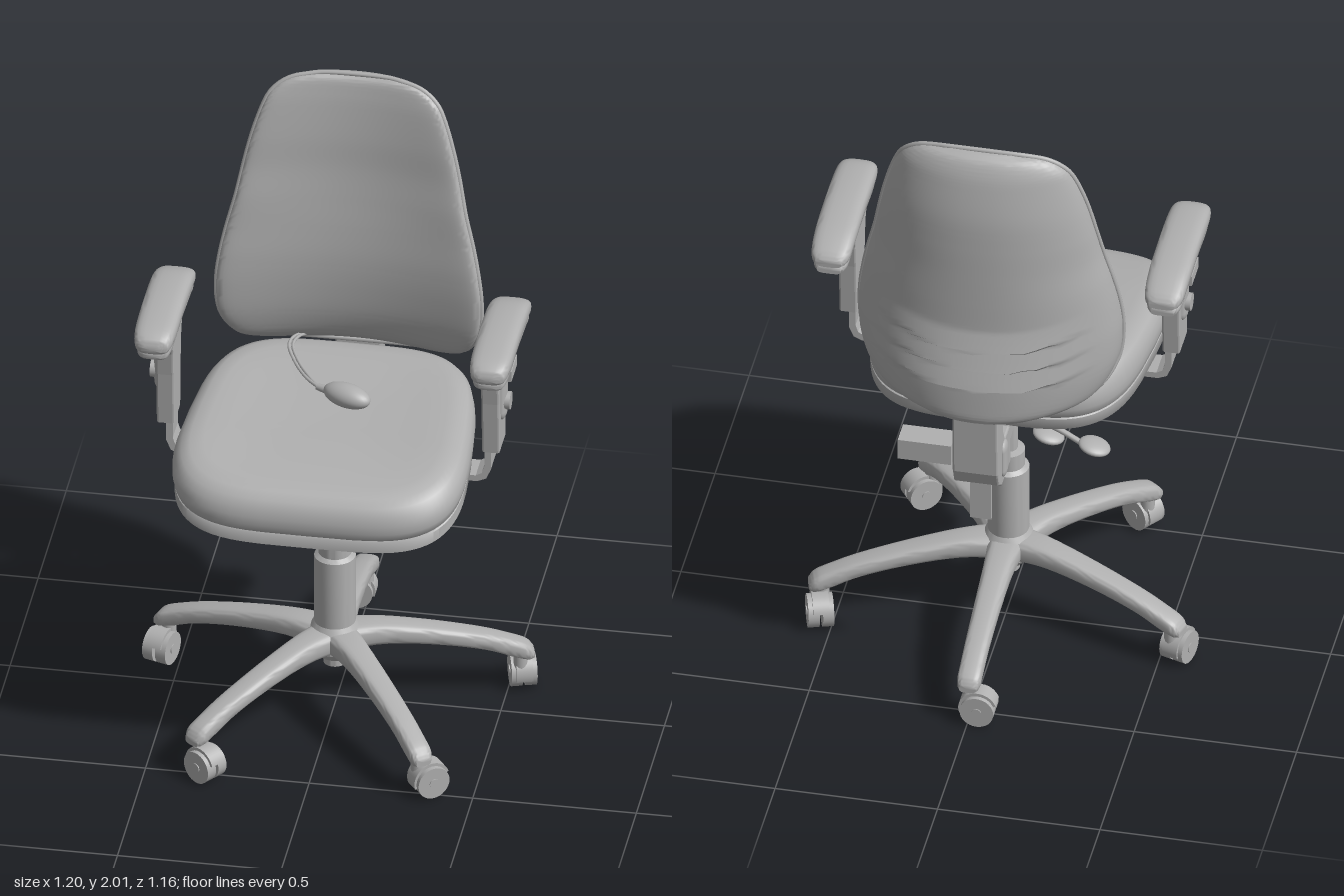
import * as THREE from 'three';
import { toCreasedNormals } from 'three/addons/utils/BufferGeometryUtils.js';

const grey = new THREE.MeshStandardMaterial({ color: 0xb0b0b0 });
grey.name = 'grey';
const V = (x, y, z) => new THREE.Vector3(x, y, z);
const pw = (v, e) => Math.sign(v) * Math.abs(v) ** e;

function add(parent, name, geo, x = 0, y = 0, z = 0) {
  const m = new THREE.Mesh(geo, grey);
  m.name = name;
  m.position.set(x, y, z);
  parent.add(m);
  return m;
}

// Skin a list of closed rings and close both ends
function loft(rings, crease = 0.9) {
  const n = rings[0].length, pos = [], idx = [];
  rings.forEach(r => r.forEach(p => pos.push(p.x, p.y, p.z)));
  for (let j = 0; j < rings.length - 1; j++) for (let i = 0; i < n; i++) {
    const k = (i + 1) % n, a = j * n + i, b = j * n + k;
    idx.push(a, b, b + n, a, b + n, a + n);
  }
  [0, rings.length - 1].forEach((j, end) => {
    const c = V(0, 0, 0), ci = pos.length / 3;
    rings[j].forEach(p => c.addScaledVector(p, 1 / n));
    pos.push(c.x, c.y, c.z);
    for (let i = 0; i < n; i++) {
      const a = j * n + i, b = j * n + (i + 1) % n;
      end ? idx.push(ci, a, b) : idx.push(ci, b, a);
    }
  });
  const g = new THREE.BufferGeometry();
  g.setAttribute('position', new THREE.Float32BufferAttribute(pos, 3));
  g.setIndex(idx);
  return toCreasedNormals(g, crease);
}

// Beam running towards -z from rows of [z, y, half width, half height]
function beam(rows, e = 0.6, n = 24) {
  const c1 = new THREE.CatmullRomCurve3(rows.map(r => V(r[0], r[1], r[2])), false, 'catmullrom');
  const c2 = new THREE.CatmullRomCurve3(rows.map(r => V(r[3], 0, 0)), false, 'catmullrom');
  const rings = [], steps = rows.length * 4;
  for (let j = 0; j <= steps; j++) {
    const p = c1.getPoint(j / steps), h = c2.getPoint(j / steps).x;
    rings.push(Array.from({ length: n }, (_, i) => {
      const a = i / n * Math.PI * 2;
      return V(p.z * pw(Math.cos(a), e), p.y - h * pw(Math.sin(a), e), p.x);
    }));
  }
  return loft(rings);
}

// Side profile of [z, y] points given a width along x
function sidePlate(pts, width, bevel = 0.006) {
  const s = new THREE.Shape(pts.map(p => new THREE.Vector2(p[0], p[1])));
  const d = width - 2 * bevel;
  return new THREE.ExtrudeGeometry(s, { depth: d, bevelSize: bevel, bevelThickness: bevel, bevelOffset: -bevel, bevelSegments: 2 })
    .translate(0, 0, -d / 2).rotateY(-Math.PI / 2);
}

const tube = (pts, r, closed = false, seg = 40) =>
  new THREE.TubeGeometry(new THREE.CatmullRomCurve3(pts.map(p => V(...p)), closed), seg, r, 8, closed);
const cyl = (r1, r2, h, n = 32) => new THREE.CylinderGeometry(r1, r2, h, n);

function buildBase(root) {
  const base = new THREE.Group();
  base.name = 'base';
  base.position.z = 0.04;
  root.add(base);
  // Hub, gas lift sleeve and rod turned as one profile
  const prof = [[0, 0.15], [0.035, 0.15], [0.035, 0.175], [0.05, 0.18], [0.075, 0.21], [0.075, 0.28], [0.063, 0.3],
    [0.063, 0.53], [0.05, 0.54], [0.05, 0.595], [0.028, 0.6], [0.028, 0.8], [0.042, 0.8], [0.042, 0.88], [0, 0.88]];
  add(base, 'column', toCreasedNormals(new THREE.LatheGeometry(prof.map(p => new THREE.Vector2(...p)), 36), 0.5));
  // Five arched legs with casters
  const legGeo = beam([[0, 0.245, 0.06, 0.042], [-0.14, 0.248, 0.046, 0.035], [-0.3, 0.225, 0.04, 0.03],
    [-0.45, 0.19, 0.037, 0.028], [-0.54, 0.157, 0.036, 0.03], [-0.585, 0.14, 0.035, 0.026], [-0.605, 0.13, 0.025, 0.014]]);
  for (let i = 0; i < 5; i++) {
    const leg = new THREE.Group();
    leg.name = 'leg' + (i + 1);
    leg.rotation.y = i * Math.PI * 2 / 5;
    base.add(leg);
    add(leg, 'legArm', legGeo);
    add(leg, 'casterStem', cyl(0.022, 0.022, 0.09, 16), 0, 0.1, -0.565);
    for (const s of [-1, 1])
      add(leg, 'casterWheel', cyl(0.052, 0.052, 0.034).rotateX(Math.PI / 2), -0.03, 0.052, -0.575 + s * 0.022);
    add(leg, 'casterHood', new THREE.CylinderGeometry(0.059, 0.059, 0.05, 24, 1, false, Math.PI * 0.4, Math.PI)
      .rotateX(Math.PI / 2), -0.03, 0.055, -0.575).material = grey;
    add(leg, 'casterAxle', cyl(0.015, 0.015, 0.084, 16).rotateX(Math.PI / 2), -0.03, 0.052, -0.575);
  }
}

function buildSeat(root) {
  const n = 72;
  const ring = ([s, y]) => Array.from({ length: n }, (_, i) => {
    const a = i / n * Math.PI * 2;
    const z = 0.13 - 0.425 * s * pw(Math.sin(a), 0.48);
    const w = 0.452 - 0.08 * ((0.45 - z) / 0.75) ** 2;
    const dip = -0.07 * (Math.max(0, z - 0.2) / 0.355) ** 2; // waterfall front edge
    const rise = y > 1.03 ? 0.015 * Math.max(0, Math.min(1, (0.2 - z) / 0.3)) : 0;
    return V(w * s * pw(Math.cos(a), 0.48), y + dip + rise, z);
  });
  add(root, 'seatPan', loft([[0.3, 0.92], [0.8, 0.92], [0.95, 0.922], [0.985, 0.935], [0.985, 0.97], [0.96, 0.978], [0.5, 0.978]].map(ring)));
  add(root, 'seatCushion', loft([[0.5, 0.965], [0.965, 0.968], [0.988, 0.98], [1, 1.005], [0.998, 1.03], [0.98, 1.055],
    [0.945, 1.074], [0.89, 1.085], [0.8, 1.087], [0.65, 1.082], [0.45, 1.077], [0.25, 1.074], [0.08, 1.073]].map(ring), 1.2));
}

function buildBackrest(root) {
  // Rows: height, half width, edge z, middle z, front depth, back depth
  const rows = [[1.065, 0.22, -0.33, -0.38, 0.03, 0.09], [1.085, 0.30, -0.29, -0.36, 0.05, 0.115],
    [1.12, 0.355, -0.25, -0.33, 0.055, 0.145], [1.2, 0.395, -0.215, -0.30, 0.05, 0.172], [1.3, 0.405, -0.205, -0.29, 0.05, 0.175],
    [1.4, 0.395, -0.21, -0.29, 0.05, 0.168], [1.5, 0.375, -0.225, -0.30, 0.05, 0.155], [1.6, 0.35, -0.24, -0.315, 0.05, 0.137],
    [1.7, 0.33, -0.26, -0.328, 0.048, 0.12], [1.8, 0.307, -0.275, -0.335, 0.045, 0.105], [1.9, 0.275, -0.295, -0.345, 0.04, 0.075],
    [1.95, 0.245, -0.31, -0.35, 0.035, 0.055], [1.985, 0.19, -0.325, -0.35, 0.025, 0.035], [2.0, 0.1, -0.34, -0.35, 0.01, 0.012]];
  const curve = k => new THREE.CatmullRomCurve3(rows.map(r => V(r[k], r[k + 1], r[k + 2])), false, 'catmullrom');
  const outer = curve(0), depth = curve(3);
  const surf = (t, a) => {
    const o = outer.getPoint(t), d = depth.getPoint(t), s = -Math.sin(a);
    const u = pw(Math.cos(a), 0.8);
    let z = d.x + (o.z - d.x) * u * u;
    if (s > 0) z += d.y * s ** 0.55;
    else {
      z -= d.z * (-s) ** 0.8;
      // Three overhanging folds across the lower back
      const p = (o.x - 0.07 * u * u - 1.19) / 0.07;
      if (p > 0 && p < 3 && Math.abs(u) < 0.85) z -= 0.018 * (1 - p % 1) * (1 - (u / 0.85) ** 2);
    }
    return V(u * o.y, o.x, z);
  };
  const n = 64, rings = [];
  for (let j = 0; j <= 130; j++)
    rings.push(Array.from({ length: n }, (_, i) => surf(j / 130, i / n * Math.PI * 2)));
  add(root, 'backrest', loft(rings, 0.8));
  // Piping along the rim
  const rim = [];
  for (let j = 0; j <= 26; j++) rim.push(surf(j / 26, 0).toArray());
  for (let j = 26; j >= 0; j--) rim.push(surf(j / 26, Math.PI).toArray());
  add(root, 'backrestPiping', tube(rim, 0.008, true, 160));
}

function buildArm(root, side) {
  const arm = new THREE.Group();
  arm.name = side > 0 ? 'leftArm' : 'rightArm';
  arm.scale.x = side;
  root.add(arm);
  const pad = [[0.32, 1.375, 0.03, 0.012], [0.305, 1.382, 0.052, 0.026], [0.25, 1.394, 0.062, 0.032], [0.1, 1.4, 0.063, 0.032],
    [-0.05, 1.39, 0.063, 0.031], [-0.13, 1.368, 0.058, 0.026], [-0.16, 1.358, 0.04, 0.014]];
  add(arm, 'armPad', beam(pad, 0.65), 0.513, 0, 0);
  add(arm, 'armPadBase', beam(pad.map(r => [r[0] * 0.96, r[1] - 0.03, r[2] * 0.9, r[3] * 0.85])), 0.513, 0, 0);
  add(arm, 'armPost', sidePlate([[0.21, 1.34], [0.185, 1.28], [0.175, 1.2], [0.162, 1.02], [0.055, 1.02], [0.045, 1.2],
    [0.035, 1.28], [0.01, 1.34]], 0.055), 0.497);
  // Height adjuster on the outside
  add(arm, 'adjusterPlate', new THREE.CapsuleGeometry(0.035, 0.1, 6, 20).scale(0.5, 1, 1), 0.522, 1.2, 0.11);
  add(arm, 'adjusterKnob', cyl(0.028, 0.028, 0.03, 24).rotateZ(Math.PI / 2), 0.535, 1.18, 0.11);
  add(arm, 'adjusterButton', new THREE.BoxGeometry(0.04, 0.035, 0.1), 0.54, 1.295, 0.11);
  // Bent steel strap under the seat
  const strap = new THREE.Shape([[0.476, 1.04], [0.476, 0.965], [0.468, 0.94], [0.45, 0.93], [0.08, 0.925], [0.08, 0.905],
    [0.455, 0.91], [0.482, 0.922], [0.496, 0.955], [0.496, 1.04]].map(p => new THREE.Vector2(...p)));
  add(arm, 'armStrap', new THREE.ExtrudeGeometry(strap, { depth: 0.09, bevelEnabled: false }), 0, 0, 0.065);
}

function buildMechanism(root) {
  add(root, 'seatPlate', sidePlate([[0.35, 0.87], [0.35, 0.93], [-0.28, 0.93], [-0.3, 0.88], [-0.2, 0.865], [0.1, 0.865]], 0.14));
  add(root, 'crossPlate', new THREE.BoxGeometry(0.42, 0.03, 0.3), 0, 0.915, 0.06);
  add(root, 'backBracket', sidePlate([[-0.18, 0.925], [-0.18, 0.87], [-0.26, 0.86], [-0.26, 0.78], [-0.39, 0.78], [-0.43, 0.81],
    [-0.45, 0.86], [-0.455, 1.12], [-0.37, 1.12], [-0.365, 0.97], [-0.34, 0.925]], 0.14));
  for (const s of [-1, 1])
    add(root, 'bracketCover', new THREE.CapsuleGeometry(0.03, 0.07, 6, 16).scale(0.4, 1, 1), s * 0.07, 0.865, -0.36);
  add(root, 'hangingStrap', new THREE.BoxGeometry(0.065, 0.2, 0.012), 0, 0.73, -0.362);
  add(root, 'tensionBox', new THREE.BoxGeometry(0.165, 0.07, 0.08), 0.177, 0.838, -0.31);
  add(root, 'tensionShaft', cyl(0.015, 0.015, 0.1, 16).rotateZ(Math.PI / 2), 0.08, 0.845, -0.31);
  // Levers with flat paddles
  for (const [x, y, z] of [[-0.315, 0.828, -0.2], [-0.17, 0.835, -0.18]]) {
    add(root, 'leverRod', tube([[-0.04, 0.88, z + 0.06], [x / 2 - 0.03, 0.865, z + 0.02], [x + 0.03, y, z]], 0.009));
    add(root, 'leverPaddle', new THREE.SphereGeometry(0.05, 24, 14).scale(1, 0.35, 0.9), x, y, z).rotation.z = 0.25;
  }
}

function buildPump(root) {
  // Squeeze bulb for the lumbar support, lying on the seat
  const bulb = add(root, 'pumpBulb', new THREE.SphereGeometry(1, 32, 20).scale(0.08, 0.036, 0.042), 0.04, 1.112, 0.06);
  bulb.rotation.y = -0.4;
  add(root, 'pumpNeck', cyl(0.01, 0.014, 0.04, 12).rotateZ(Math.PI / 2), -0.04, 1.108, 0.027).rotation.y = -0.4;
  for (const d of [0, 0.012])
    add(root, 'pumpHose', tube([[-0.05, 1.107, 0.025], [-0.1 + d, 1.105, -0.03], [-0.15 + d, 1.11, -0.11],
      [-0.18 + d, 1.115, -0.19], [-0.17 + d, 1.11, -0.25], [-0.1, 1.06, -0.37]], 0.005));
}

export function createModel() {
  const chair = new THREE.Group();
  chair.name = 'officeChair';
  buildBase(chair);
  buildSeat(chair);
  buildBackrest(chair);
  for (const side of [1, -1]) buildArm(chair, side);
  buildMechanism(chair);
  buildPump(chair);
  return chair;
}
